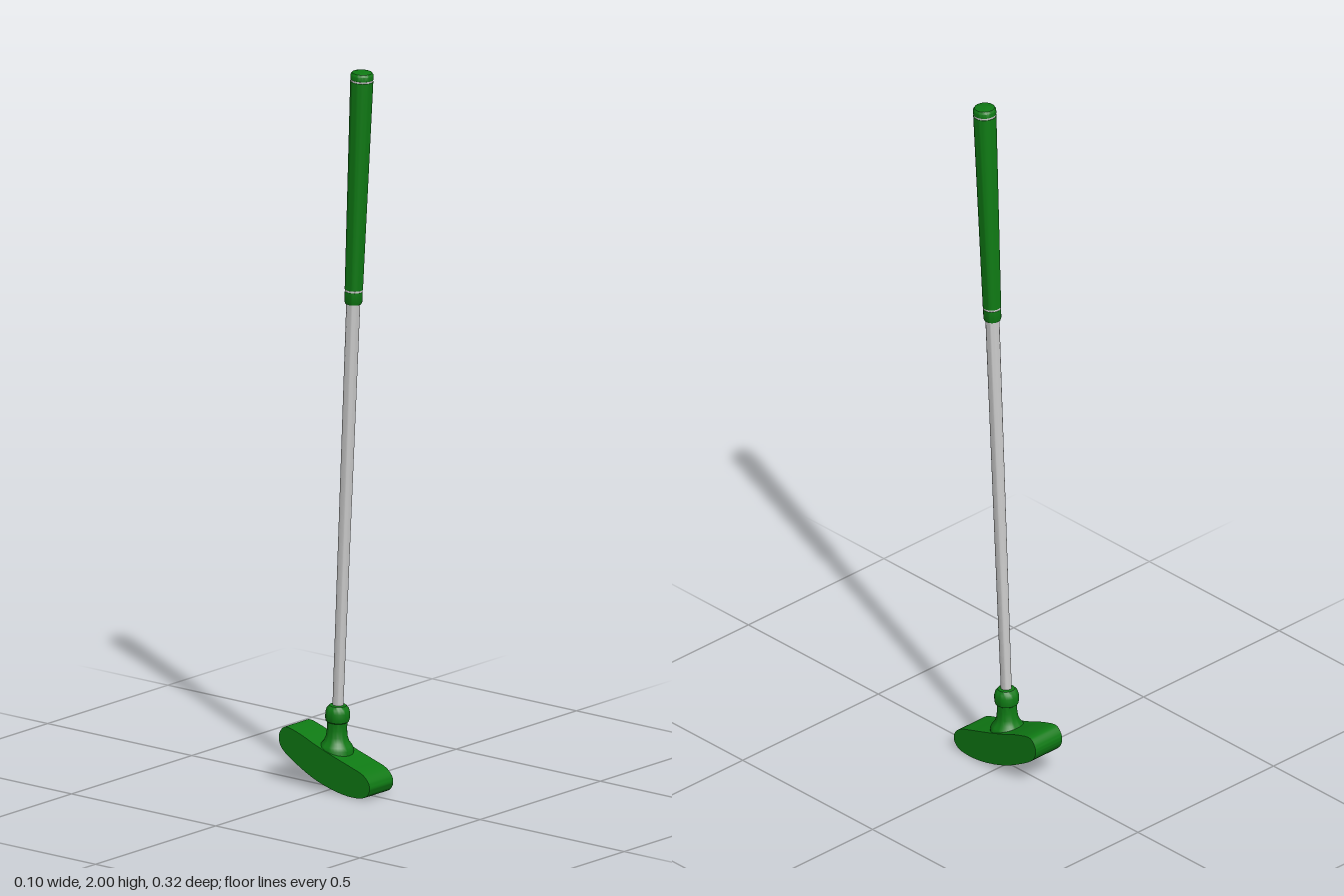
import * as THREE from 'three';
import { toCreasedNormals } from 'three/addons/utils/BufferGeometryUtils.js';

const green = new THREE.MeshStandardMaterial({ color: 0x0f7a14 });
const grey = new THREE.MeshStandardMaterial({ color: 0xcccccc });

function part(name, geometry, material) {
  const mesh = new THREE.Mesh(geometry, material);
  mesh.name = name;
  return mesh;
}

// Turned part from [radius, height] pairs, bottom to top
function turned(name, profile, material) {
  const points = profile.map(([r, y]) => new THREE.Vector2(r, y));
  return part(name, toCreasedNormals(new THREE.LatheGeometry(points, 32), 0.6), material);
}

// Curved head: side outline in (-z, y), extruded across the width
function createHead() {
  const outline = [
    [-0.156, 0.046], [-0.137, 0.068], [-0.09, 0.085], [-0.035, 0.102], [0.03, 0.124],
    [0.09, 0.147], [0.137, 0.156], [0.154, 0.138], [0.157, 0.118], [0.147, 0.095],
    [0.1, 0.062], [0.02, 0.024], [-0.08, 0.002], [-0.14, 0.008], [-0.156, 0.025],
  ].map(([x, y]) => new THREE.Vector3(x, y, 0));
  const curve = new THREE.CatmullRomCurve3(outline, true);
  const points = curve.getPoints(60).slice(0, -1).map((p) => new THREE.Vector2(p.x, p.y));
  const width = 0.098;
  const geometry = new THREE.ExtrudeGeometry(new THREE.Shape(points.reverse()), { depth: width, bevelEnabled: false });
  geometry.translate(0, 0, -width / 2).rotateY(Math.PI / 2);
  return part('head', toCreasedNormals(geometry, 0.6), green);
}

export function createModel() {
  const model = new THREE.Group();
  model.name = 'putter';
  model.add(createHead());

  // Everything above the head leans forward along one axis
  const club = new THREE.Group();
  club.name = 'leaningClub';
  club.position.z = -0.004;
  club.rotation.x = 0.0475;
  model.add(club);

  // Flared socket with a rounded collar
  club.add(turned('socket', [
    [0, 0.085], [0.047, 0.085], [0.047, 0.113], [0.042, 0.122], [0.034, 0.132], [0.029, 0.146],
    [0.027, 0.165], [0.027, 0.185], [0.031, 0.188], [0.033, 0.196], [0.033, 0.212],
    [0.03, 0.223], [0.023, 0.231], [0.014, 0.233], [0, 0.233],
  ], green));

  // Tapered shaft
  club.add(turned('shaft', [[0, 0.2], [0.0145, 0.2], [0.019, 1.4], [0, 1.4]], grey));

  // Tapered grip with a shallow groove near each end and a domed cap
  club.add(turned('grip', [
    [0, 1.352], [0.022, 1.352], [0.024, 1.358], [0.024, 1.386], [0.0225, 1.387], [0.0225, 1.391],
    [0.0245, 1.392], [0.031, 1.972], [0.029, 1.973], [0.029, 1.977], [0.031, 1.978],
    [0.031, 1.99], [0.027, 1.996], [0.014, 2.0], [0, 2.001],
  ], green));

  // Thin pale bands set in the grooves
  for (const [name, radius, y] of [['lowerBand', 0.0238, 1.389], ['upperBand', 0.0303, 1.975]]) {
    const band = part(name, new THREE.CylinderGeometry(radius, radius, 0.005, 32), grey);
    band.position.y = y;
    club.add(band);
  }
  return model;
}
